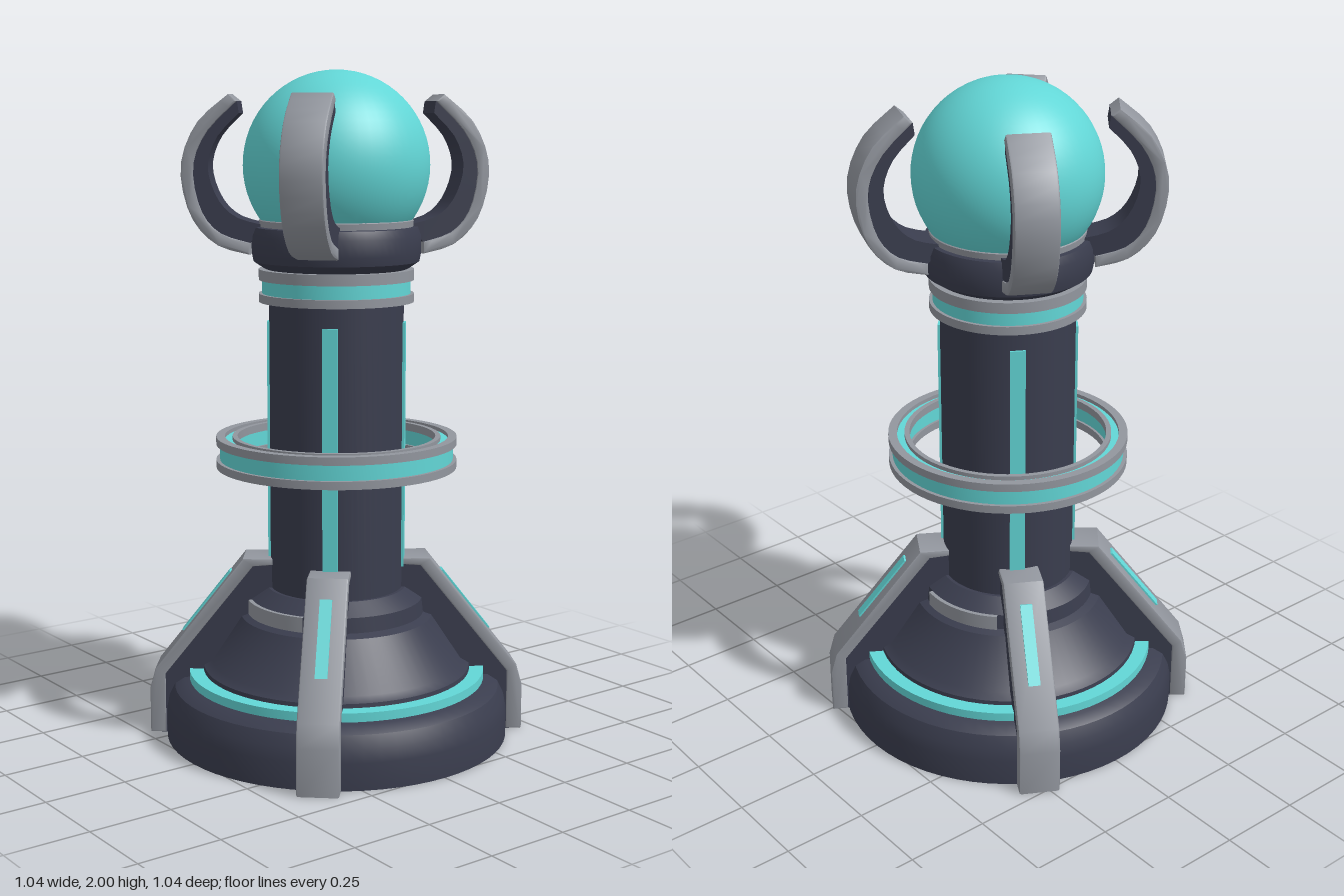
import * as THREE from 'three';
import { toCreasedNormals } from 'three/addons/utils/BufferGeometryUtils.js';

const material = (name, color) => {
  const m = new THREE.MeshStandardMaterial({ color });
  m.name = name;
  return m;
};
const rad = THREE.MathUtils.degToRad;

export function createModel() {
  const dark = material('dark slate', 0x3a3d4e);
  const grey = material('steel grey', 0x92969e);
  const teal = material('glowing teal', 0x62d6d6);
  const model = new THREE.Group();

  const add = (name, geometry, mat, parent = model) => {
    const mesh = new THREE.Mesh(geometry, mat);
    mesh.name = name;
    parent.add(mesh);
    return mesh;
  };
  const vectors = (points) => points.map(([x, y]) => new THREE.Vector2(x, y));

  // Turned part from [radius, height] pairs, optionally only an arc of it
  const turned = (name, points, mat, start = 0, sweep = 360) =>
    add(name, toCreasedNormals(
      new THREE.LatheGeometry(vectors(points), sweep === 360 ? 64 : 16, rad(start), rad(sweep)), 0.5), mat);

  // Hollow ring with a rectangular section
  const band = (name, r0, r1, y0, y1, mat, start, sweep) =>
    turned(name, [[r0, y0], [r1, y0], [r1, y1], [r0, y1], [r0, y0]], mat, start, sweep);

  // Slab with a [radius, height] outline, standing in a radial plane
  const slab = (name, points, width, mat, parent, bevel = 0) => {
    const geometry = new THREE.ExtrudeGeometry(new THREE.Shape(vectors(points)), {
      depth: width - 2 * bevel, bevelEnabled: bevel > 0, bevelSize: bevel,
      bevelThickness: bevel, bevelOffset: -bevel, bevelSegments: 2,
    });
    geometry.translate(0, 0, -width / 2 + bevel);
    return add(name, toCreasedNormals(geometry, 0.6), mat, parent);
  };
  const spoke = (name, azimuth) => {
    const group = new THREE.Group();
    group.name = name;
    group.rotation.y = rad(azimuth - 90);
    model.add(group);
    return group;
  };
  const smooth = (points, n = 16) =>
    new THREE.SplineCurve(vectors(points)).getPoints(n).map((p) => [p.x, p.y]);

  // Round base with a stepped cone
  turned('base', [
    [0, 0], [0.52, 0], [0.52, 0.08], [0.512, 0.12], [0.495, 0.155], [0.465, 0.175],
    [0.41, 0.18], [0.405, 0.215], [0.38, 0.23], [0.29, 0.37], [0.265, 0.38],
    [0.26, 0.425], [0.21, 0.46], [0.19, 0.46],
  ], dark);
  band('baseLightRing', 0.4, 0.45, 0.17, 0.203, teal);
  for (const azimuth of [4, 196]) band('basePlate', 0.25, 0.272, 0.38, 0.425, grey, azimuth - 28, 56);

  // Column with four light strips
  turned('column', [[0.2, 0.4], [0.2, 1.34]], dark);
  for (const azimuth of [48, 137, 239, -38]) {
    const strip = spoke('columnLight', azimuth);
    add('lightStrip', new THREE.BoxGeometry(0.014, 0.74, 0.045), teal, strip).position.set(0.199, 0.895, 0);
  }

  // Floating ring
  band('floatingRingCore', 0.305, 0.35, 0.84, 0.91, teal);
  for (const y of [0.828, 0.898]) {
    band('floatingRingRim', 0.335, 0.361, y, y + 0.024, grey);
    band('floatingRingInnerRim', 0.297, 0.312, y, y + 0.024, grey);
  }

  // Collar
  turned('collarCore', [[0.19, 1.34], [0.22, 1.34], [0.22, 1.41], [0.19, 1.41]], teal);
  band('collarLowerRim', 0.18, 0.23, 1.325, 1.35, grey);
  band('collarUpperRim', 0.18, 0.23, 1.39, 1.422, grey);

  // Cup holding the orb
  turned('cup', [
    [0.19, 1.415], [0.215, 1.425], [0.245, 1.445], [0.25, 1.47], [0.25, 1.52],
    [0.24, 1.545], [0.2, 1.55], [0, 1.55],
  ], dark);
  turned('cupRim', [[0.225, 1.535], [0.228, 1.565], [0.215, 1.575], [0.18, 1.575]], grey);
  add('orb', new THREE.SphereGeometry(0.275, 48, 32), teal).position.y = 1.725;

  // Sloping buttresses around the base
  for (const azimuth of [48, 149, 240.5, -39]) {
    const fin = spoke('buttress', azimuth);
    slab('buttressBody', [[0.15, 0], [0.535, 0], [0.535, 0.19], [0.26, 0.535], [0.16, 0.535]],
      0.112, dark, fin);
    slab('buttressFace', [
      [0.52, 0], [0.568, 0], [0.568, 0.14], [0.55, 0.205], [0.28, 0.55], [0.19, 0.55],
      [0.19, 0.53], [0.25, 0.525], [0.52, 0.185],
    ], 0.122, grey, fin, 0.006);
    slab('buttressLight', [[0.46, 0.31], [0.473, 0.312], [0.326, 0.5], [0.314, 0.497]],
      0.036, teal, fin);
  }

  // Curved claws around the orb, pale outside and dark inside
  const outer = smooth([[0.25, 1.465], [0.35, 1.495], [0.425, 1.58], [0.452, 1.72],
    [0.405, 1.845], [0.31, 1.93]]);
  const middle = smooth([[0.25, 1.5], [0.34, 1.53], [0.395, 1.6], [0.415, 1.72],
    [0.375, 1.82], [0.285, 1.91]]);
  const inner = smooth([[0.2, 1.55], [0.29, 1.575], [0.345, 1.63], [0.372, 1.72],
    [0.345, 1.805], [0.28, 1.875]]);
  for (const azimuth of [41, 157, 241, -40]) {
    const claw = spoke('claw', azimuth);
    slab('clawShell', [...outer, ...[...middle].reverse()], 0.124, grey, claw, 0.006);
    slab('clawLining', [...middle, ...[...inner].reverse()], 0.116, dark, claw);
  }

  return model;
}
